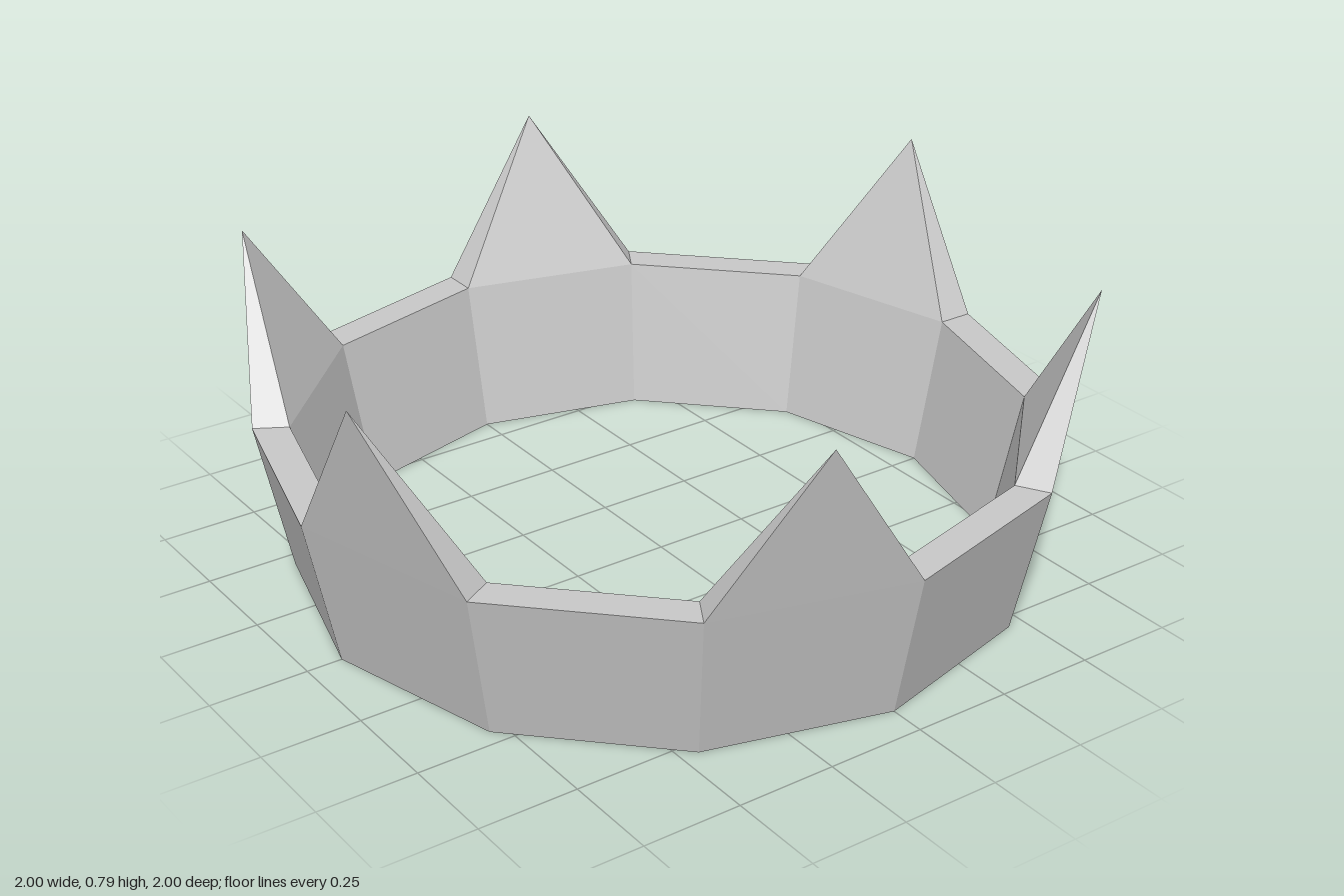
import * as THREE from 'three';

const SIDES = 12;
const RIM_Y = 0.38;
const RIM_OUTER = 0.99;
const RIM_INNER = 0.9;

// Point on a ring, with the angle measured from +z towards +x
function ringPoint(radius, y, step) {
  const a = (step / SIDES) * Math.PI * 2;
  return new THREE.Vector3(radius * Math.sin(a), y, radius * Math.cos(a));
}

// Four-sided spike standing on one side of the rim, its tip leaning outwards
function spikeGeometry() {
  const outerA = ringPoint(RIM_OUTER, RIM_Y, 0);
  const outerB = ringPoint(RIM_OUTER, RIM_Y, 1);
  const innerA = ringPoint(RIM_INNER, RIM_Y, 0);
  const innerB = ringPoint(RIM_INNER, RIM_Y, 1);
  const tip = ringPoint(1.034, 0.785, 0.5);
  const base = [outerA, outerB, innerB, innerA];
  const points = base.flatMap((p, i) => [p, base[(i + 1) % 4], tip]);
  const geometry = new THREE.BufferGeometry().setFromPoints(points);
  geometry.computeVertexNormals();
  return geometry;
}

export function createModel() {
  const metal = new THREE.MeshStandardMaterial({ color: 0xc8c8c8 });
  metal.name = 'grey metal';

  const crown = new THREE.Group();
  crown.name = 'crown';

  // Flared twelve-sided band with a closed, thick section
  const section = [
    [0.825, 0], [0.91, 0], [RIM_OUTER, RIM_Y], [RIM_INNER, RIM_Y], [0.825, 0],
  ].map(([r, y]) => new THREE.Vector2(r, y));
  const bandGeometry = new THREE.LatheGeometry(section, SIDES).toNonIndexed();
  bandGeometry.computeVertexNormals();
  const band = new THREE.Mesh(bandGeometry, metal);
  band.name = 'band';
  crown.add(band);

  // Spikes on every second side
  const spike = spikeGeometry();
  for (let i = 0; i < SIDES / 2; i++) {
    const mesh = new THREE.Mesh(spike, metal);
    mesh.name = `spike${i + 1}`;
    mesh.rotation.y = (i / (SIDES / 2)) * Math.PI * 2;
    crown.add(mesh);
  }
  return crown;
}
